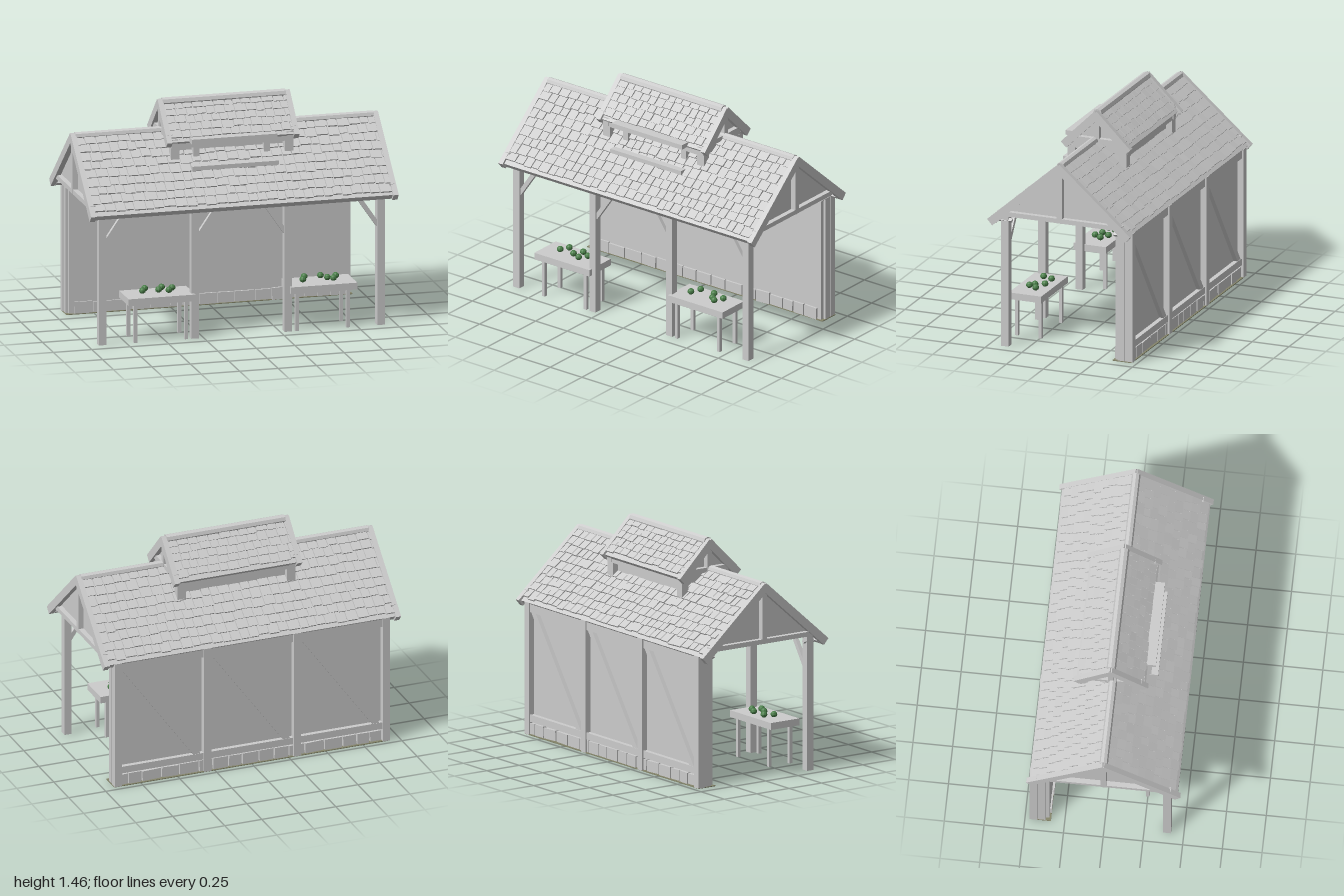
import * as THREE from 'three';
import { mergeGeometries } from 'three/addons/utils/BufferGeometryUtils.js';

export function createModel() {
  const model = new THREE.Group();
  model.name = 'marketStall';
  const flat = (name, color) => {
    const m = new THREE.MeshStandardMaterial({ color, flatShading: true });
    m.name = name;
    return m;
  };
  const grey = flat('paleGrey', 0xcccccc);
  const green = flat('leafGreen', 0x4a7f49);
  const moss = flat('mossyGround', 0x85856a);

  let seed = 7;
  const rnd = (a, b) => {
    seed = (seed * 16807) % 2147483647;
    return a + (b - a) * (seed / 2147483647);
  };
  const group = (name, parent = model) => {
    const g = new THREE.Group();
    g.name = name;
    parent.add(g);
    return g;
  };
  const add = (name, geo, parent = model, mat = grey) => {
    const m = new THREE.Mesh(geo, mat);
    m.name = name;
    parent.add(m);
    return m;
  };
  // Box given by its minimum and maximum on each axis
  const box = (name, x0, x1, y0, y1, z0, z1, parent = model, mat = grey) => {
    const m = add(name, new THREE.BoxGeometry(x1 - x0, y1 - y0, z1 - z0), parent, mat);
    m.position.set((x0 + x1) / 2, (y0 + y1) / 2, (z0 + z1) / 2);
    return m;
  };
  // Slanted timber in a plane of constant z
  const brace = (name, xa, ya, xb, yb, z, width, depth, parent = model) => {
    const m = add(name, new THREE.BoxGeometry(Math.hypot(xb - xa, yb - ya), width, depth), parent);
    m.position.set((xa + xb) / 2, (ya + yb) / 2, z);
    m.rotation.z = Math.atan2(yb - ya, xb - xa);
  };

  // Overlapping shingles on a slope running along +z, slightly uneven
  const shingles = (hw, length, rows, width) => {
    const parts = [];
    const step = length / rows;
    for (let r = 0; r < rows; r++) {
      let x = -hw;
      while (x < hw - 0.005) {
        const w = Math.min(rnd(0.8, 1.25) * width, hw - x);
        const l = step * rnd(1.05, 1.25);
        const g = new THREE.BoxGeometry(Math.max(w - 0.006, 0.004), 0.011, l);
        g.rotateX(-0.12 + rnd(-0.03, 0.03));
        g.translate(x + w / 2, 0.008 + rnd(0, 0.004), step * r + l / 2);
        parts.push(g);
        x += w;
      }
    }
    return mergeGeometries(parts);
  };

  // Gabled roof: solid core, shingled slopes, edge timbers and end trusses
  const gableRoof = (name, o) => {
    const roof = group(name);
    roof.position.set(0, o.ridge, o.z);
    const angle = Math.atan(o.slope);
    const coreRun = (o.ridge - o.base) / o.slope;
    const tri = new THREE.Shape();
    tri.moveTo(-coreRun, o.base - o.ridge);
    tri.lineTo(coreRun, o.base - o.ridge);
    tri.lineTo(0, 0);
    const core = new THREE.ExtrudeGeometry(tri, { depth: 2 * o.hw - 0.03, bevelEnabled: false });
    core.translate(0, 0, -o.hw + 0.015);
    core.rotateY(Math.PI / 2);
    add('gableCore', core, roof);
    for (const back of [false, true]) {
      const side = group(back ? 'backSlope' : 'frontSlope', roof);
      side.rotation.y = back ? Math.PI : 0;
      const slope = group('slopePlane', side);
      slope.rotation.x = angle;
      box('deck', -o.hw, o.hw, -0.015, 0.002, 0, o.length - 0.01, slope);
      add('shingles', shingles(o.hw, o.length - 0.035, o.rows, o.tile), slope);
      box('eaveBeam', -o.hw, o.hw, -0.035, 0.006, o.length - 0.03, o.length, slope);
      for (const s of [-1, 1]) {
        const x = s * (o.hw + 0.013);
        box('edgeRafter', x - 0.017, x + 0.017, -0.032, 0.02, -0.01, o.length + 0.012, slope);
      }
    }
    for (const s of [-1, 1]) {
      const x = s * (o.hw + 0.002);
      box('kingPost', x - 0.018, x + 0.018, o.base - o.ridge, -0.01, -0.018, 0.018, roof);
      box('tieBeam', x - 0.016, x + 0.016, o.base - o.ridge, o.base - o.ridge + 0.03, -coreRun, coreRun, roof);
    }
    const ridge = add('ridgeBeam', new THREE.CylinderGeometry(o.cap, o.cap, 2 * o.hw, 8), roof);
    ridge.rotation.z = Math.PI / 2;
  };
  gableRoof('mainRoof', { ridge: 1.25, base: 0.88, z: 0, slope: 0.875, hw: 0.97, length: 0.615, rows: 9, tile: 0.064, cap: 0.027 });
  gableRoof('upperRoof', { ridge: 1.427, base: 1.235, z: -0.013, slope: 0.99, hw: 0.4, length: 0.3, rows: 5, tile: 0.062, cap: 0.03 });

  // Raised lantern under the upper roof
  const lantern = group('lantern');
  box('lanternBody', -0.36, 0.36, 1.0, 1.24, -0.17, 0.14, lantern);
  for (const [z0, z1] of [[-0.21, -0.16], [0.14, 0.19]]) {
    box('longBeam', -0.39, 0.39, 1.175, 1.235, z0, z1, lantern);
    for (const s of [-1, 1])
      box('cornerPost', s * 0.37 - 0.028, s * 0.37 + 0.028, 1.08, 1.2, z0, z1, lantern);
  }
  for (const s of [-1, 1]) {
    box('sideBeam', s * 0.375 - 0.022, s * 0.375 + 0.022, 1.18, 1.235, -0.215, 0.195, lantern);
    box('hatchPost', s * 0.23 - 0.02, s * 0.23 + 0.02, 1.08, 1.18, 0.14, 0.18, lantern);
  }
  box('hatchShelf', -0.28, 0.275, 1.213, 1.243, 0.17, 0.255, lantern);
  box('hatchSill', -0.28, 0.28, 1.045, 1.072, 0.19, 0.27, lantern);

  // Front posts, knee braces and the beam above them
  const postX = [-0.907, -0.305, 0.3, 0.903];
  const frame = group('frontFrame');
  for (const x of postX) box('frontPost', x - 0.024, x + 0.024, 0, 0.89, 0.37, 0.42, frame);
  for (const [i, d] of [[0, 1], [1, 1], [2, -1], [3, -1]])
    brace('kneeBrace', postX[i] + d * 0.015, 0.645, postX[i] + d * 0.155, 0.85, 0.395, 0.028, 0.025, frame);

  // Small joist ends set on edge below both eaves
  const joists = group('joistEnds');
  for (let i = 0; i < 13; i++)
    for (const z of [0.395, -0.385]) {
      const j = add('joistEnd', new THREE.BoxGeometry(0.02, 0.02, 0.09), joists);
      j.position.set(-0.915 + i * 0.1525, 0.832, z);
      j.rotation.z = Math.PI / 4;
    }

  // Back wall with timber framing outside
  const wall = group('backWall');
  box('wallPanel', -0.91, 0.91, 0.005, 0.88, -0.43, -0.347, wall);
  box('groundStrip', -0.93, 0.93, 0, 0.005, -0.468, -0.336, wall, moss);
  for (const x of postX) box('backPost', x - 0.024, x + 0.024, 0.002, 0.85, -0.47, -0.42, wall);
  for (const s of [-1, 1]) box('cornerPost', s * 0.905 - 0.022, s * 0.905 + 0.022, 0.002, 0.88, -0.418, -0.37, wall);
  box('topRail', -0.9, 0.9, 0.79, 0.85, -0.46, -0.42, wall);
  box('bottomRail', -0.9, 0.9, 0.085, 0.13, -0.46, -0.42, wall);
  for (let i = 0; i < 3; i++)
    brace('diagonalBrace', postX[i] + 0.06, 0.12, postX[i + 1] - 0.05, 0.8, -0.44, 0.04, 0.035, wall);

  // Foundation stones along both faces of the wall
  const stones = [];
  for (const z of [-0.35, -0.443])
    for (let x = -0.88; x < 0.87;) {
      const w = Math.min(rnd(0.075, 0.135), 0.885 - x);
      const g = new THREE.BoxGeometry(Math.max(w - 0.008, 0.01), rnd(0.066, 0.078), rnd(0.026, 0.036));
      g.rotateZ(rnd(-0.04, 0.04));
      g.translate(x + w / 2, 0.042, z);
      stones.push(g);
      x += w;
    }
  add('foundationStones', mergeGeometries(stones), wall);

  // Two tables with produce
  const table = (name, x0, x1, legX, fruit) => {
    const t = group(name);
    box('tableTop', x0, x1, 0.248, 0.292, 0.225, 0.445, t);
    for (const x of legX)
      for (const z of [0.25, 0.41])
        box('tableLeg', x - 0.011, x + 0.011, 0, 0.25, z - 0.011, z + 0.011, t);
    for (const [x, z] of fruit) {
      const f = add('produce', new THREE.SphereGeometry(0.022, 9, 6), t, green);
      f.position.set(x, 0.312, z);
      f.scale.y = 0.9;
    }
  };
  table('leftTable', -0.745, -0.31, [-0.692, -0.362],
    [[-0.625, 0.335], [-0.595, 0.28], [-0.52, 0.335], [-0.485, 0.28], [-0.46, 0.36], [-0.425, 0.31]]);
  table('rightTable', 0.31, 0.742, [0.358, 0.69],
    [[0.415, 0.345], [0.442, 0.28], [0.548, 0.28], [0.578, 0.335], [0.61, 0.36], [0.64, 0.305]]);

  return model;
}
